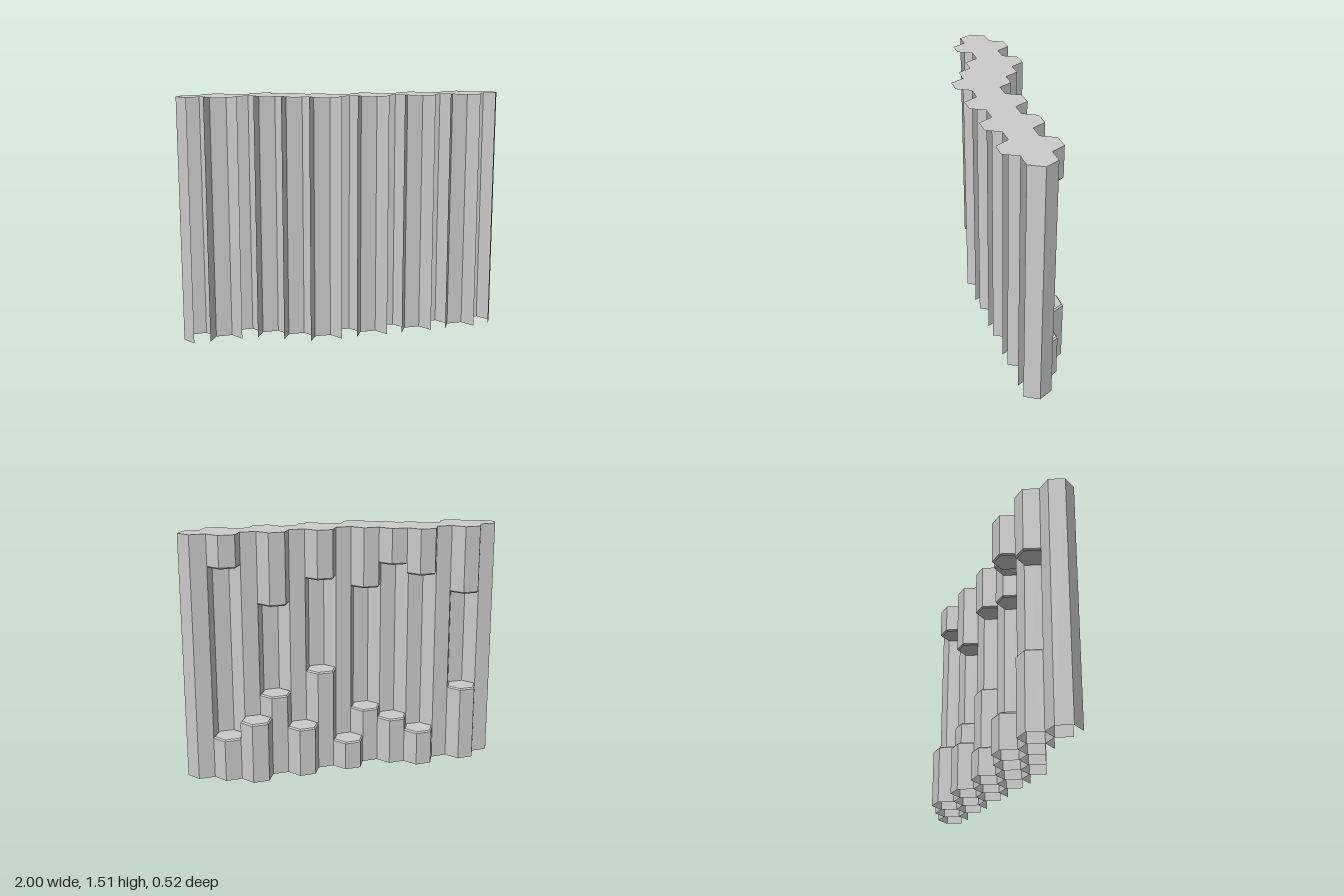
import * as THREE from 'three';

const R = 0.1;                       // hexagon corner radius
const A = R * Math.sqrt(3) / 2;      // hexagon half width, also the row step
const H = 1.513;                     // full height
const B = 0.009;                     // bevel of the stub ends

const material = new THREE.MeshStandardMaterial({
  color: 0xcccccc, flatShading: true, side: THREE.DoubleSide,
});

// Row offsets (in units of A) of the 13 full-height columns, from -x to +x
const columnRows = [-1, 0, -1, 0, 1, 2, 1, 2, 1, 2, 1, 2, 1];

// Short columns behind the wall: column index, row, top of the lower one,
// underside of the hanging one (null where there is none)
const stubs = [
  [1, -2, 0.475, 1.095],
  [3, -2, 0.22, 1.23],
  [4, -1, 0.295, 1.29],
  [5, 0, 0.35, 1.14],
  [6, -1, 0.18, null],
  [7, 0, 0.63, 1.21],
  [8, -1, 0.305, null],
  [9, 0, 0.505, 1.07],
  [10, -1, 0.375, null],
  [11, 0, 0.265, 1.315],
];

const columnX = (i) => (i - 6) * 1.5 * R;

export function createModel() {
  const group = new THREE.Group();

  const add = (name, geometry, i, row, y = 0) => {
    const mesh = new THREE.Mesh(geometry, material);
    mesh.name = name;
    mesh.position.set(columnX(i), y, row * A);
    group.add(mesh);
  };

  // Six-sided turned shape from [radius, height] pairs, corners on the x axis
  const hexLathe = (profile) => new THREE.LatheGeometry(
    profile.map(([r, y]) => new THREE.Vector2(r, y)), 6, Math.PI / 2);

  // Full-height columns: back walls with an open front, and a flat top.
  // The two end columns also have their outer front side.
  const side = Math.PI / 3;
  const last = columnRows.length - 1;
  columnRows.forEach((row, i) => {
    const isEnd = i === 0 || i === last;
    const start = Math.PI / 2 - (i === last ? side : 0);
    const sides = isEnd ? 4 : 3;
    add('columnWall',
      new THREE.CylinderGeometry(R, R, H, sides, 1, true, start, sides * side),
      i, row, H / 2);
    add('columnTop', new THREE.CircleGeometry(R, 6).rotateX(-Math.PI / 2), i, row, H);
  });

  // Bevelled short columns standing on the ground and hanging from the top
  for (const [i, row, low, high] of stubs) {
    add('lowerStub', hexLathe([[R, 0], [R, low - B], [R - B, low], [0, low]]), i, row);
    if (high !== null) {
      add('hangingStub',
        hexLathe([[0, high], [R - B, high], [R, high + B], [R, H], [0, H]]), i, row);
    }
  }

  return group;
}
